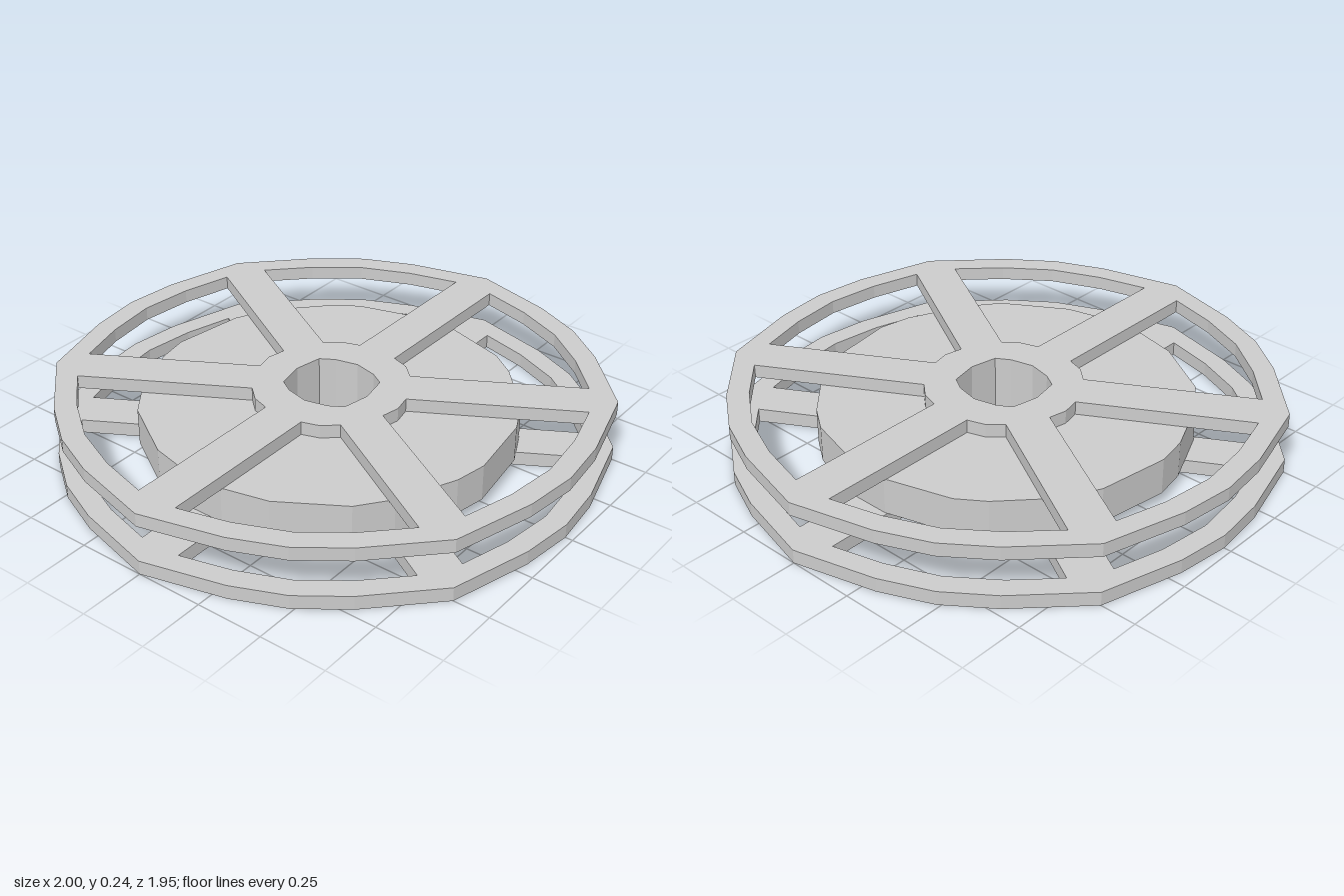
import * as THREE from 'three';

const material = new THREE.MeshStandardMaterial({ color: 0xcccccc, flatShading: true });
const SECTORS = 6;
const STEP = Math.PI / 3;

// point from radius and degrees, turned to a sector
const polar = (r, deg, sector = 0) => {
  const a = THREE.MathUtils.degToRad(deg) + sector * STEP;
  return new THREE.Vector2(r * Math.cos(a), r * Math.sin(a));
};

// faceted bore, mirrored from one quarter
function boreHole() {
  const q = [[0.153, 0], [0.133, 0.085], [0.102, 0.136], [0, 0.156]];
  const half = [...q, ...q.slice(0, 3).reverse().map(([x, y]) => [-x, y])];
  const all = [...half, ...half.slice(1, -1).reverse().map(([x, y]) => [x, -y])];
  return new THREE.Path(all.map(([x, y]) => new THREE.Vector2(x, y)));
}

// extrude a plan shape upward from y
function slab(name, shape, y, height) {
  const geometry = new THREE.ExtrudeGeometry(shape, { depth: height, bevelEnabled: false });
  geometry.rotateX(-Math.PI / 2);
  geometry.translate(0, y, 0);
  const mesh = new THREE.Mesh(geometry, material);
  mesh.name = name;
  return mesh;
}

// six-spoked wheel plate with a window in every sector
function spokedShape() {
  const outline = [];
  const holes = [boreHole()];
  for (let i = 0; i < SECTORS; i++) {
    outline.push(polar(1, 0, i), polar(0.971, 18.1, i), polar(0.973, 30, i), polar(0.971, 41.9, i));
    holes.push(new THREE.Path([
      polar(0.282, 16.1, i), polar(0.904, 5, i), polar(0.892, 17.3, i), polar(0.894, 30, i),
      polar(0.892, 42.7, i), polar(0.904, 55, i), polar(0.282, 43.9, i), polar(0.288, 30, i),
    ]));
  }
  const shape = new THREE.Shape(outline);
  shape.holes = holes;
  return shape;
}

// uneven faceted drum, mirrored front to back
function drumShape() {
  const half = [
    [0.658, 0.07], [0.587, 0.315], [0.52, 0.411], [0.35, 0.57], [0.217, 0.635],
    [-0.05, 0.675], [-0.17, 0.653], [-0.385, 0.557], [-0.5, 0.47], [-0.64, 0.243], [-0.68, 0.07],
  ];
  const all = [...half, ...[...half].reverse().map(([x, y]) => [x, -y])];
  const shape = new THREE.Shape(all.map(([x, y]) => new THREE.Vector2(x, y)));
  shape.holes = [boreHole()];
  return shape;
}

export function createModel() {
  const group = new THREE.Group();
  group.name = 'spool';
  group.add(
    slab('lowerSpokedPlate', spokedShape(), 0, 0.052),
    slab('drum', drumShape(), 0.052, 0.136),
    slab('upperSpokedPlate', spokedShape(), 0.188, 0.05),
  );
  return group;
}
